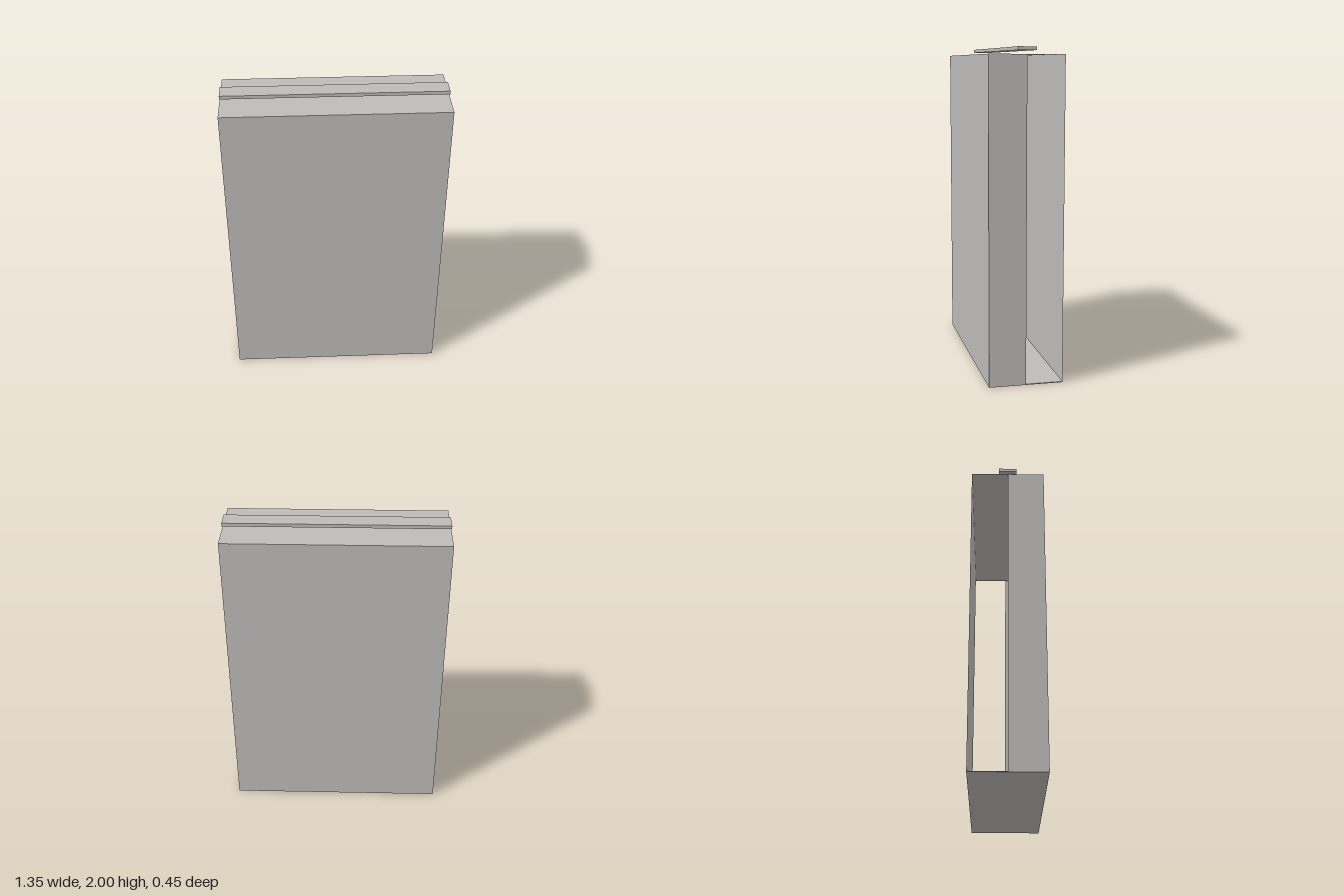
import * as THREE from 'three';

export function createModel() {
  const group = new THREE.Group();
  const grey = new THREE.MeshStandardMaterial({ color: 0xbebcba, side: THREE.DoubleSide });
  grey.name = 'warm grey';

  const W = 1.352, D = 0.452, TOP = 1.958, FLOOR = 0.005;

  const add = (name, geometry, x, y, z) => {
    const mesh = new THREE.Mesh(geometry, grey);
    mesh.name = name;
    mesh.position.set(x, y, z);
    group.add(mesh);
    return mesh;
  };

  // Large front and back sheets, facing outward
  const height = TOP - FLOOR, midY = (TOP + FLOOR) / 2;
  add('frontPanel', new THREE.PlaneGeometry(W, height), 0, midY, D / 2);
  add('backPanel', new THREE.PlaneGeometry(W, height).rotateY(Math.PI), 0, midY, -D / 2);

  // Half-depth end sheets; the rear half of each end stays open
  for (const s of [-1, 1]) {
    add(s > 0 ? 'leftEndPanel' : 'rightEndPanel',
      new THREE.PlaneGeometry(D / 2, height).rotateY(s * Math.PI / 2), s * W / 2, midY, D / 4);
  }

  // Top sheet and thin floor
  add('topPanel', new THREE.PlaneGeometry(W, D).rotateX(-Math.PI / 2), 0, TOP, 0);
  add('floorPanel', new THREE.BoxGeometry(W, FLOOR, D), 0, FLOOR / 2, 0);

  // Narrow rail hovering above the top
  add('topRail', new THREE.BoxGeometry(W, 0.021, 0.11), 0, 1.9895, 0);

  return group;
}
